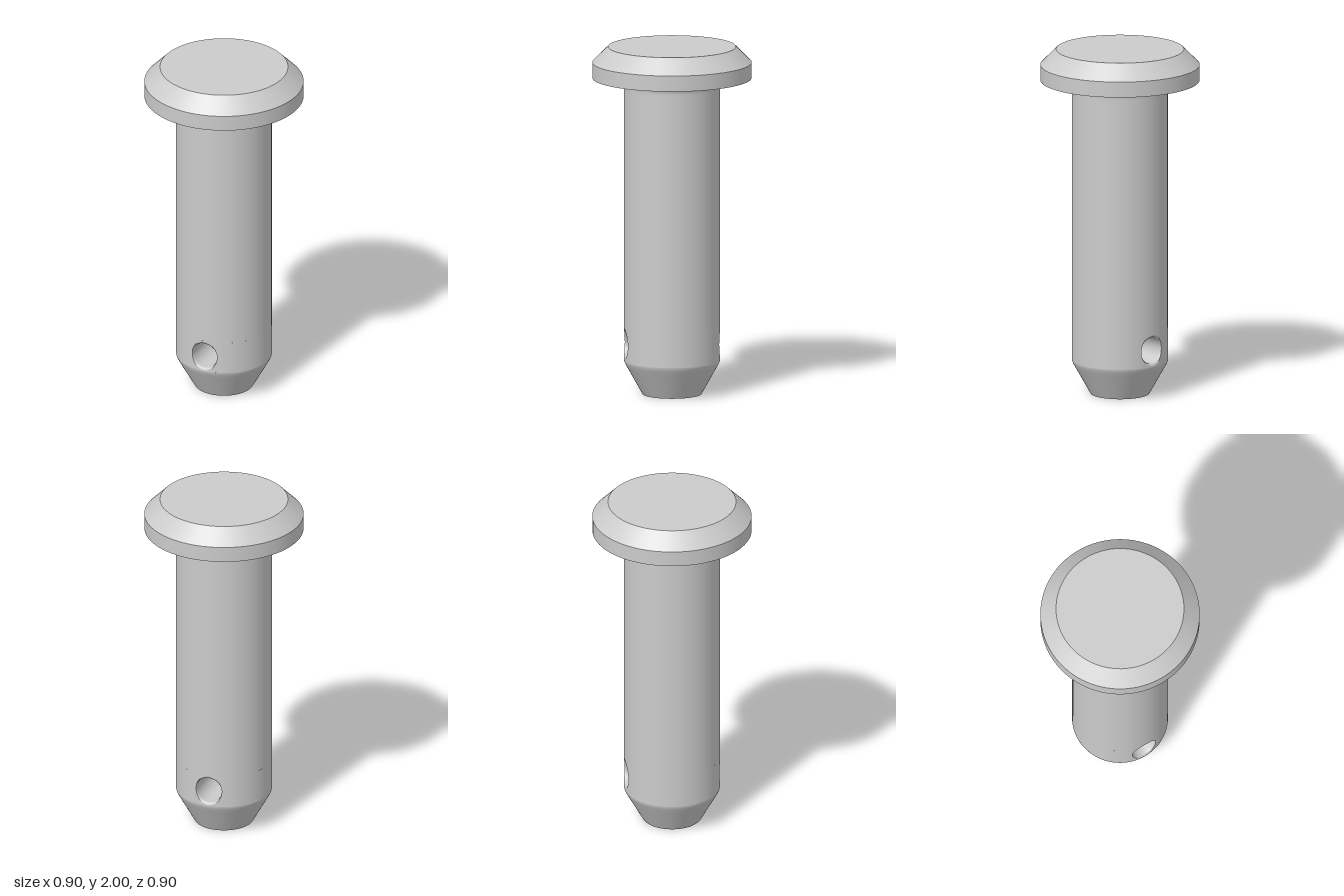
import * as THREE from 'three';

const SEG = 96;
const R = 0.272;            // shaft radius
const HOLE_Y = 0.29;        // height of the cross hole
const HALF = 0.095;         // half height of the drilled band
const SPAN = 0.5;           // half angle of each drilled patch
const HOLE_R = 0.0755;

const material = new THREE.MeshStandardMaterial({ color: 0xcccccc });

function addMesh(group, name, geometry) {
  const mesh = new THREE.Mesh(geometry, material);
  mesh.name = name;
  group.add(mesh);
  return mesh;
}

// Surface of revolution; profile runs so that its right-hand side faces out
function turned(group, name, profile, start = 0, length = Math.PI * 2) {
  const points = profile.map(([r, y]) => new THREE.Vector2(r, y));
  return addMesh(group, name, new THREE.LatheGeometry(points, SEG, start, length));
}

// Skin a list of closed rings; ring(k, angle) returns a point
function skin(ringCount, ring) {
  const positions = [];
  const indices = [];
  for (let k = 0; k < ringCount; k++) {
    for (let j = 0; j < SEG; j++) {
      positions.push(...ring(k, (j / SEG) * Math.PI * 2));
      if (k === ringCount - 1) continue;
      const n = (j + 1) % SEG;
      const a = k * SEG + j, d = k * SEG + n;
      indices.push(a, a + SEG, d + SEG, a, d + SEG, d);
    }
  }
  const geometry = new THREE.BufferGeometry();
  geometry.setAttribute('position', new THREE.Float32BufferAttribute(positions, 3));
  geometry.setIndex(indices);
  geometry.computeVertexNormals();
  return geometry;
}

const onShaft = (x) => Math.sqrt(R * R - x * x);

// Curved patch of shaft surface around the hole mouth
function patchGeometry(mouthX, mouthY) {
  const steps = 8;
  const geometry = skin(steps + 1, (k, a) => {
    const c = Math.cos(a), s = Math.sin(a);
    const m = Math.max(Math.abs(c), Math.abs(s));
    const t = k / steps;
    const theta = THREE.MathUtils.lerp(Math.asin((mouthX * c) / R), (SPAN * c) / m, t);
    const y = THREE.MathUtils.lerp(mouthY * s, (HALF * s) / m, t);
    return [R * Math.sin(theta), HOLE_Y + y, R * Math.cos(theta)];
  });
  // exact cylinder normals, to blend with the rest of the shaft
  const p = geometry.attributes.position, n = geometry.attributes.normal;
  for (let i = 0; i < p.count; i++) n.setXYZ(i, p.getX(i) / R, 0, p.getZ(i) / R);
  return geometry;
}

// Half of the bore, from the middle of the shaft out to its eased mouth
function boreGeometry(mouthX, mouthY) {
  const steps = 4;
  return skin(steps + 3, (k, a) => {
    const t = Math.max(0, (k - 2) / steps);      // 0 on the bore, 1 at the mouth
    const flare = 1 - Math.sqrt(1 - t * t);
    const x = THREE.MathUtils.lerp(HOLE_R, mouthX, flare) * Math.cos(a);
    const y = THREE.MathUtils.lerp(HOLE_R, mouthY, flare) * Math.sin(a);
    const depth = 0.014 * (1 - t);
    const z = k === 0 ? 0 : onShaft(x) - (k === 1 ? 0.02 : depth);
    return [x, HOLE_Y + y, z];
  });
}

export function createModel() {
  const model = new THREE.Group();
  model.name = 'pin';

  // Tapered tip with a softened shoulder
  turned(model, 'tipEnd', [[0, 0], [0.168, 0]]);
  turned(model, 'tipTaper', [
    [0.168, 0], [0.252, 0.15], [0.2605, 0.165], [0.267, 0.178], [0.271, 0.188], [R, HOLE_Y - HALF],
  ]);

  // Drilled band: plain sides plus a patch and half bore on front and back
  const mouthX = 0.0775, mouthY = 0.0895;
  for (const [side, turn] of [['front', 0], ['back', Math.PI]]) {
    turned(model, side + 'BandSide', [[R, HOLE_Y - HALF], [R, HOLE_Y + HALF]],
      SPAN + turn, Math.PI - 2 * SPAN);
    addMesh(model, side + 'HoleSurround', patchGeometry(mouthX, mouthY)).rotation.y = turn;
    addMesh(model, side + 'Bore', boreGeometry(mouthX, mouthY)).rotation.y = turn;
  }

  // Shaft, flowing into a fillet beneath the head
  const fillet = 0.05, headY = 1.82;
  const shaft = [[R, HOLE_Y + HALF], [R, 1.75]];
  for (let i = 0; i <= 8; i++) {
    const a = (i / 8) * Math.PI / 2;
    shaft.push([R + fillet * (1 - Math.cos(a)), headY - fillet * (1 - Math.sin(a))]);
  }
  turned(model, 'shaft', shaft);

  // Head with a bevelled upper edge
  turned(model, 'headUnderside', [[R + fillet, headY], [0.452, headY]]);
  turned(model, 'headRim', [[0.452, headY], [0.452, 1.91]]);
  turned(model, 'headBevel', [[0.452, 1.91], [0.363, 2]]);
  turned(model, 'headTop', [[0.363, 2], [0, 2]]);

  return model;
}
